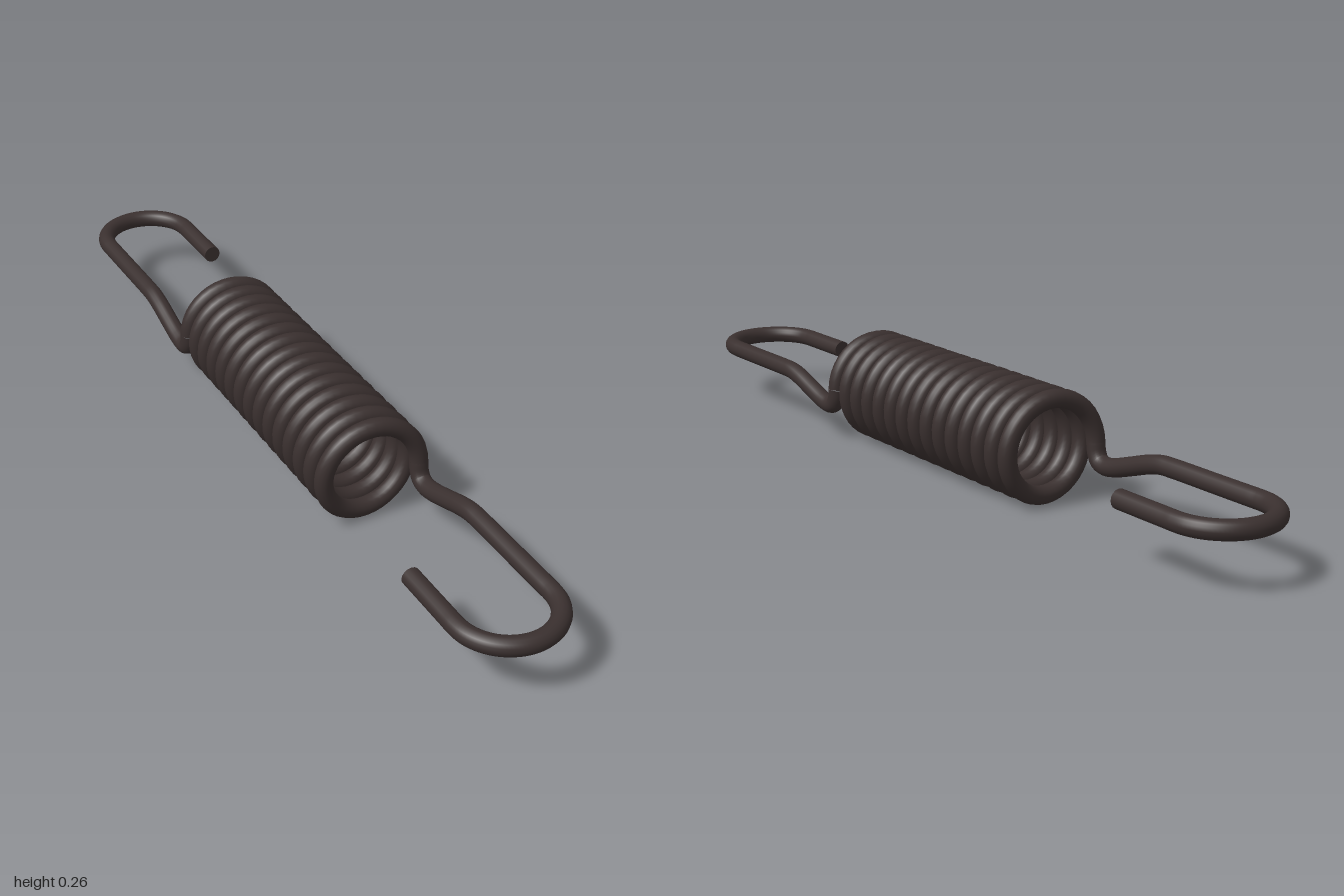
import * as THREE from 'three';

const R = 0.1108;      // coil centreline radius
const WIRE = 0.0212;   // wire radius
const AXIS = 0.132;    // height of the coil axis
const TURNS = 14.5;
const HALF = 0.36;     // half length of the coil centreline
const SIDES = 16;

class Helix extends THREE.Curve {
  getPoint(t, target = new THREE.Vector3()) {
    const a = t * TURNS * Math.PI * 2;
    return target.set(-R * Math.cos(a), AXIS + R * Math.sin(a), (2 * t - 1) * HALF);
  }
}

// Hook centreline: leaves the coil downwards, sweeps back up, then bends round in a U
function hookCurve() {
  const pts = [
    [-R, AXIS, -HALF], [-R, 0.107, -0.364], [-R, 0.09, -0.375], [-R, 0.084, -0.395],
    [-R, 0.088, -0.425], [-R, 0.105, -0.48], [-R, 0.123, -0.535], [-R, 0.132, -0.575],
    [-R, 0.1335, -0.61], [-R, 0.1335, -0.74], [-R, 0.1335, -0.84],
  ].map((p) => new THREE.Vector3(...p));
  const bendZ = -1 + WIRE + R;
  for (let i = 0; i <= 12; i++) {
    const a = (i / 12) * Math.PI;
    pts.push(new THREE.Vector3(-R * Math.cos(a), 0.1335, bendZ - R * Math.sin(a)));
  }
  pts.push(new THREE.Vector3(R, 0.1335, -0.84), new THREE.Vector3(R, 0.1335, -0.7));
  const curve = new THREE.CatmullRomCurve3(pts);
  curve.arcLengthDivisions = 800;
  return curve;
}

export function createModel() {
  const model = new THREE.Group();
  model.name = 'extensionSpring';
  const steel = new THREE.MeshStandardMaterial({ color: 0x3a302f });
  steel.name = 'darkSteel';

  // Close-wound coil body
  const helix = new Helix();
  helix.arcLengthDivisions = 2000;
  const coil = new THREE.Mesh(new THREE.TubeGeometry(helix, 580, WIRE, SIDES), steel);
  coil.name = 'coil';
  model.add(coil);

  // The two end hooks are the same part turned half way round
  const hookGeometry = new THREE.TubeGeometry(hookCurve(), 140, WIRE, SIDES);
  const tipGeometry = new THREE.CircleGeometry(WIRE, SIDES);
  for (const [name, turn] of [['backHook', 0], ['frontHook', Math.PI]]) {
    const hook = new THREE.Group();
    hook.name = name;
    const wire = new THREE.Mesh(hookGeometry, steel);
    wire.name = name + 'Wire';
    const tip = new THREE.Mesh(tipGeometry, steel);
    tip.name = name + 'Tip';
    tip.position.set(R, 0.1335, -0.7);
    hook.add(wire, tip);
    hook.rotation.y = turn;
    model.add(hook);
  }
  return model;
}
